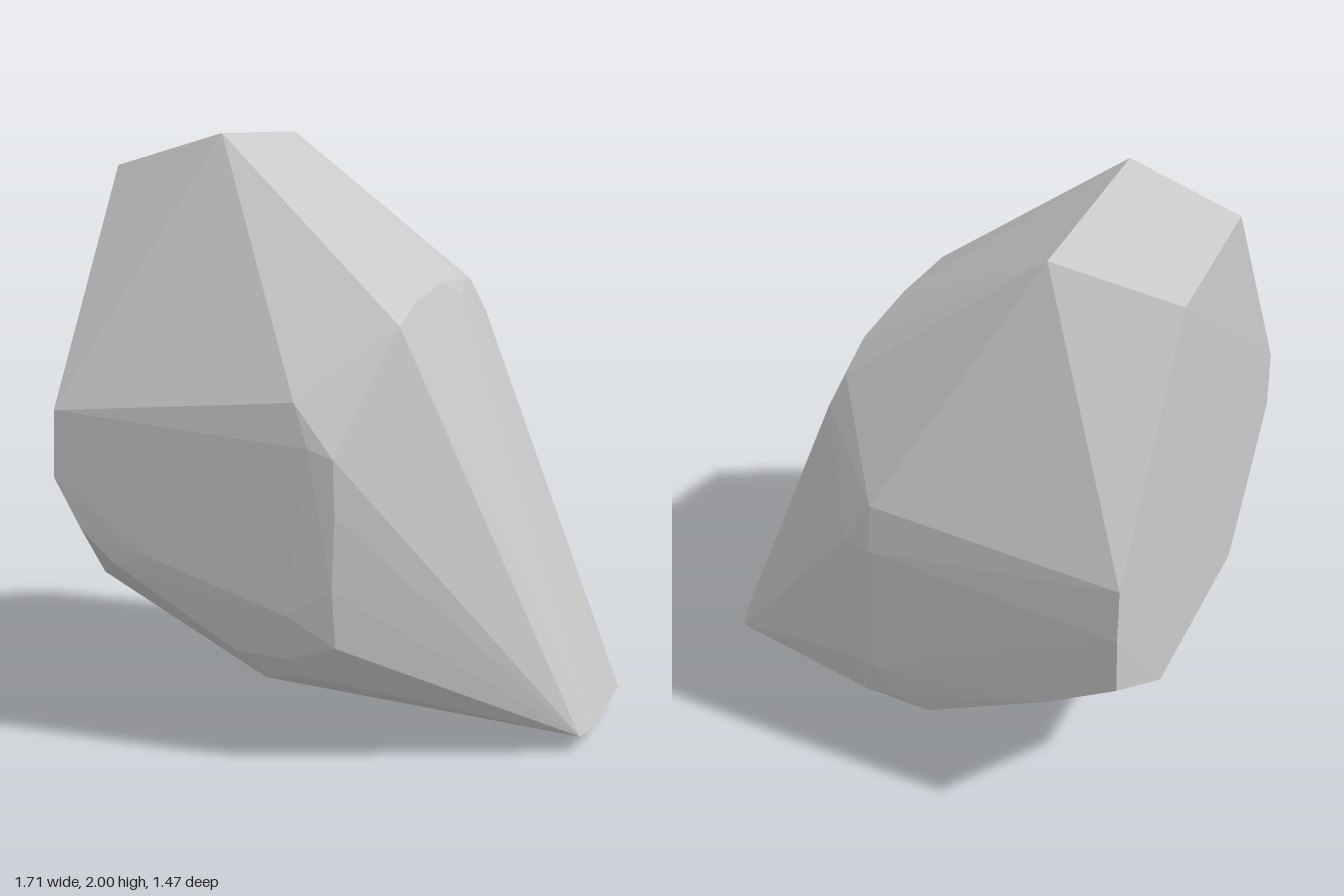
import * as THREE from 'three';
import { ConvexGeometry } from 'three/addons/geometries/ConvexGeometry.js';

// Corner rings of the boulder, [x, y, z]
const crown = [
  [-0.79, 1.89, 0.3], [-0.4, 2, 0.32], [-0.41, 1.99, -0.37], [-0.81, 1.88, -0.27],
];
const shoulder = [
  [0.27, 1.41, 0.49], [0.27, 1.47, 0.31], [0.265, 1.5, 0],
  [0.265, 1.485, -0.28], [0.23, 1.465, -0.47], [0.28, 1.35, -0.5], [0.295, 1.44, -0.13],
];
const frontFace = [
  [0, 1.19, 0.72], [0.13, 1.02, 0.725], [0.135, 0.84, 0.725], [0.125, 0.6, 0.725], [0.13, 0.41, 0.71],
  [-0.03, 0.36, 0.71], [-0.2, 0.37, 0.715], [-0.63, 0.63, 0.73],
  [-0.74, 0.73, 0.73], [-0.835, 0.9, 0.73], [-0.83, 1.12, 0.725],
  [0.05, 1.05, 0.735], [-0.03, 0.51, 0.735], [-0.5, 0.66, 0.735],
];
const backFace = [
  [0.03, 1.17, -0.71], [0.13, 1, -0.71], [0.03, 1, -0.73], [0.03, 0.5, -0.73],
  [0.13, 0.5, -0.71], [0.1, 0.32, -0.67], [-0.15, 0.33, -0.685], [-0.05, 0.38, -0.71],
  [-0.6, 0.6, -0.73], [-0.83, 0.74, -0.725], [-0.825, 0.95, -0.735], [-0.82, 1.14, -0.725],
];
const underside = [
  [-0.855, 0.48, 0.35], [-0.855, 0.48, -0.36], [0.05, 0.28, 0.65], [-0.13, 0.27, 0.65],
  [-0.2, 0.25, 0.4], [-0.2, 0.25, -0.3],
];
const toe = [
  [0.83, 0.055, 0.29], [0.85, 0.05, 0.17], [0.85, 0.05, -0.26], [0.77, 0.12, -0.39], [0.81, 0, -0.13],
];

export function createModel() {
  const group = new THREE.Group();
  group.name = 'boulder';
  const stone = new THREE.MeshStandardMaterial({ color: 0xc8c8c8 });
  stone.name = 'stone grey';

  // Faceted hull with one flat normal per face
  const corners = [crown, shoulder, frontFace, backFace, underside, toe]
    .flat().map((p) => new THREE.Vector3(...p));
  const rock = new THREE.Mesh(new ConvexGeometry(corners), stone);
  rock.name = 'rock';
  group.add(rock);
  return group;
}
